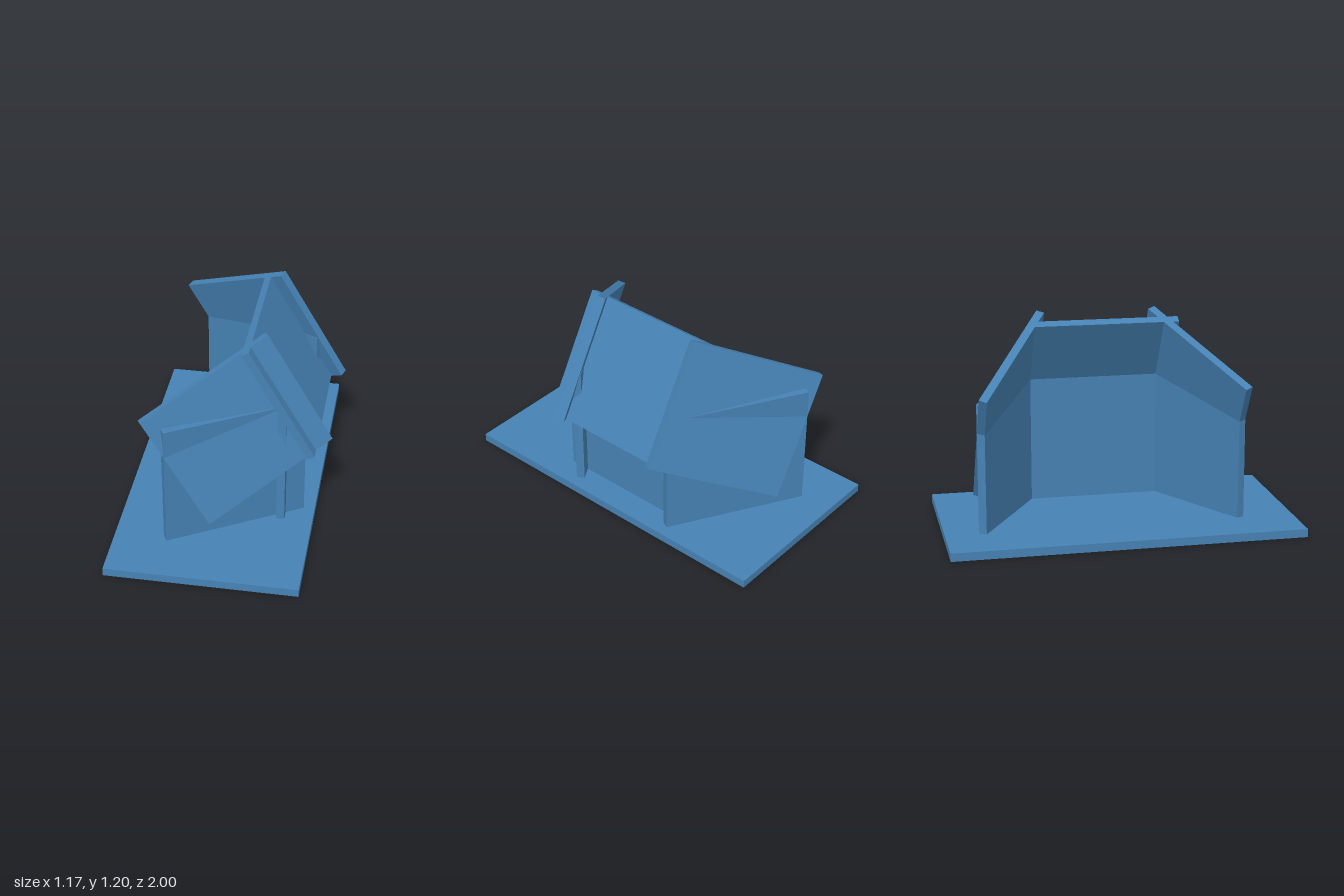
import * as THREE from 'three';

const material = new THREE.MeshStandardMaterial({ color: 0x4682b4, flatShading: true });
const T = 0.047;      // board thickness
const H = 0.739;      // wall height
const L = 0.83;       // board length
const MID_Z = -0.05;  // plane the splayed walls mirror about

function board(name, w, h, d, x, y, z) {
  const mesh = new THREE.Mesh(new THREE.BoxGeometry(w, h, d), material);
  mesh.name = name;
  mesh.position.set(x, y, z);
  return mesh;
}

// Three boards: a middle wall and two side walls splayed 30 degrees.
// The origin is the lower left corner.
function threeWalls(name) {
  const group = new THREE.Group();
  group.name = name;
  group.add(board(name + 'Middle', T, H, 0.845, 0.621, H / 2, -0.008));
  for (const side of [1, -1]) {
    const wall = board(name + (side > 0 ? 'Front' : 'Rear'), L, H, T, 0.371, H / 2, MID_Z + side * 0.533);
    wall.rotation.y = side * Math.PI / 6;
    group.add(wall);
  }
  return group;
}

export function createModel() {
  const model = new THREE.Group();
  model.name = 'model';

  // Ground slab
  model.add(board('base', 1.08, T, 2, -0.045, T / 2, 0));

  // Upright walls
  const walls = threeWalls('wall');
  walls.position.set(-0.31, T, 0);
  model.add(walls);

  // The same boards tipped over as a roof
  const roof = threeWalls('roof');
  roof.position.set(-0.062, 0.185, 0);
  roof.rotation.z = Math.PI / 6;
  model.add(roof);

  return model;
}
